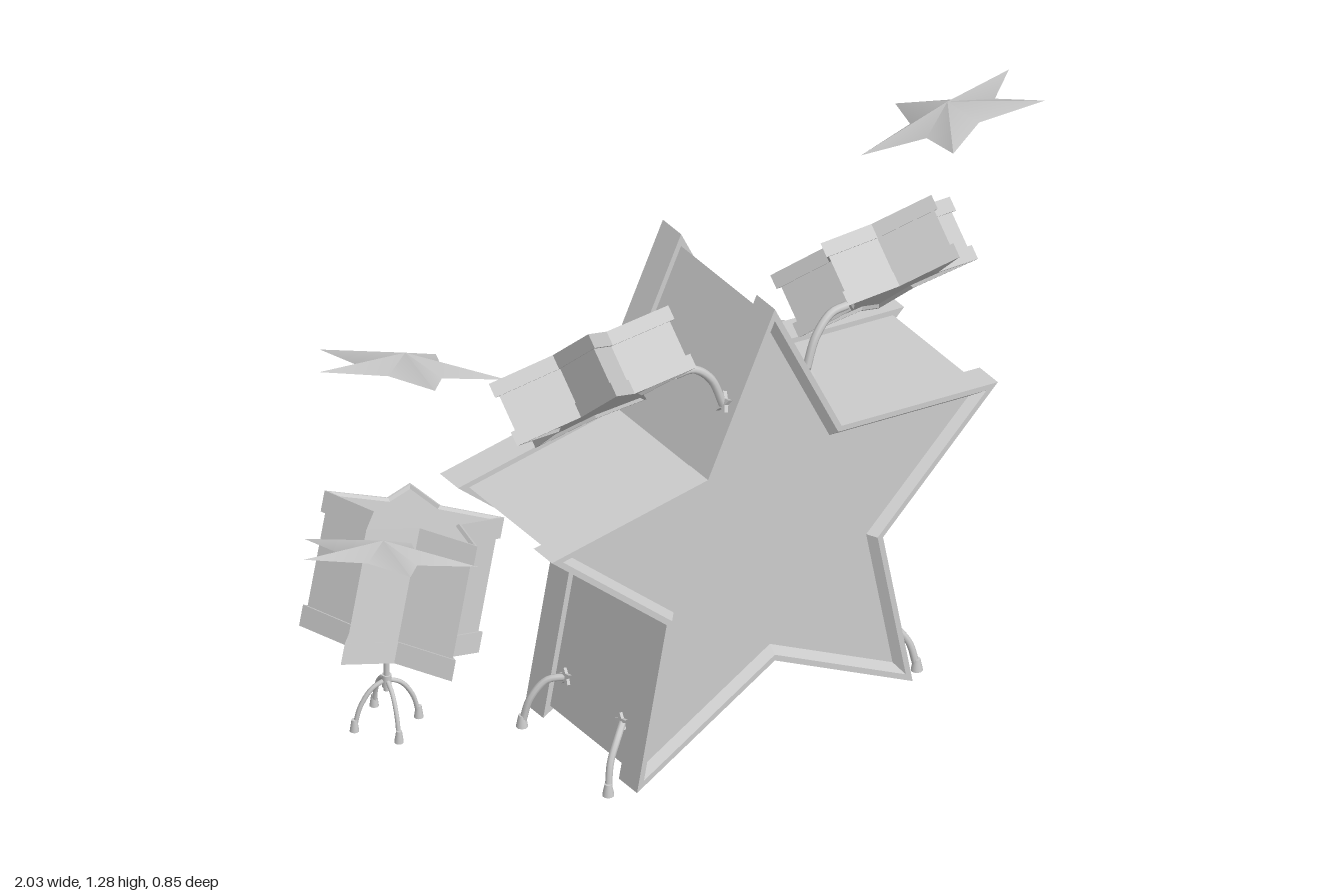
import * as THREE from 'three';
import { toCreasedNormals } from 'three/addons/utils/BufferGeometryUtils.js';

const grey = new THREE.MeshStandardMaterial({ color: 0xcccccc });
const thin = new THREE.MeshStandardMaterial({ color: 0xcccccc, side: THREE.DoubleSide });
const V = (x, y, z) => new THREE.Vector3(x, y, z);
const UP = V(0, 1, 0);
const MID = 0.017; // mirror plane of the kit

// Five-pointed star swept through a profile of [radius, height], listed bottom to top
function starLoft(profile, angle, ratio = 0.485) {
  const point = ([r, y], j) => {
    const a = THREE.MathUtils.degToRad(angle) + (j * Math.PI) / 5;
    const k = j % 2 ? r * ratio : r;
    return [k * Math.cos(a), y, -k * Math.sin(a)];
  };
  const pos = [];
  for (let i = 0; i < profile.length - 1; i++) {
    const lo = profile[i], hi = profile[i + 1];
    for (let j = 0; j < 10; j++) {
      const a = point(lo, j), b = point(lo, j + 1), c = point(hi, j + 1), d = point(hi, j);
      if (lo[0] > 0) pos.push(...a, ...b, ...c);
      if (hi[0] > 0) pos.push(...a, ...c, ...d);
    }
  }
  const g = new THREE.BufferGeometry();
  g.setAttribute('position', new THREE.Float32BufferAttribute(pos, 3));
  g.computeVertexNormals();
  return toCreasedNormals(g, 0.6);
}

function add(parent, name, geometry, material = grey) {
  const m = new THREE.Mesh(geometry, material);
  m.name = name;
  parent.add(m);
  return m;
}

// Place a mesh so that its own y axis points along the given direction
function place(mesh, centre, axis) {
  mesh.position.copy(centre);
  mesh.quaternion.setFromUnitVectors(UP, axis.clone().normalize());
  return mesh;
}

// Star drum: shell with a raised hoop and a slightly recessed head at each end
function drum(parent, name, R, height, hoop, angle, centre, axis) {
  const h = height / 2, head = h - 0.03 * R, shell = 0.95 * R;
  const profile = [
    [0, -head], [0.89 * R, -head], [0.95 * R, -h], [R, -h], [R, -h + hoop], [shell, -h + hoop],
    [shell, h - hoop], [R, h - hoop], [R, h], [0.95 * R, h], [0.89 * R, head], [0, head],
  ];
  place(add(parent, name, starLoft(profile, angle)), centre, axis);
}

function plate(parent, name, R, t, angle, centre, axis) {
  const geo = starLoft([[0, -t / 2], [R, -t / 2], [R, t / 2], [0, t / 2]], angle);
  place(add(parent, name, geo), centre, axis);
}

function cymbal(parent, name, R, angle, centre, axis) {
  const geo = starLoft([[R, -0.008], [0, 0.03]], angle, 0.46);
  place(add(parent, name, geo, thin), centre, axis);
}

function tube(parent, name, points, r) {
  const curve = new THREE.CatmullRomCurve3(points);
  add(parent, name, new THREE.TubeGeometry(curve, 16, r, 8), thin);
}

function rod(parent, name, a, b, r) {
  const geo = new THREE.CylinderGeometry(r, r, a.distanceTo(b), 10);
  place(add(parent, name, geo), a.clone().lerp(b, 0.5), b.clone().sub(a));
}

function foot(parent, x, z, r) {
  const m = add(parent, 'rubberFoot', new THREE.CylinderGeometry(r * 0.6, r, 0.03, 10));
  m.position.set(x, 0.028, z);
}

// Pole with arched legs
function stand(name, x, z, top, legTop, spread, count, start) {
  const g = new THREE.Group();
  g.name = name;
  rod(g, 'pole', V(x, legTop - 0.03, z), V(x, top, z), 0.007);
  rod(g, 'collar', V(x, legTop - 0.02, z), V(x, legTop + 0.012, z), 0.011);
  for (let i = 0; i < count; i++) {
    const a = start + (i * 2 * Math.PI) / count;
    const at = (f, y) => V(x + Math.cos(a) * spread * f, y, z + Math.sin(a) * spread * f);
    tube(g, 'standLeg', [at(0, legTop), at(0.45, legTop * 0.87), at(0.82, legTop * 0.55), at(1, 0.02)], 0.0055);
    foot(g, x + Math.cos(a) * spread, z + Math.sin(a) * spread, 0.011);
  }
  return g;
}

function pedal() {
  const g = new THREE.Group();
  g.name = 'kickPedal';
  plate(g, 'heelPlate', 0.062, 0.016, 90, V(0, 0.012, -0.363), UP);
  // Sloping footboard with a star at the toe
  const slope = V(0, 1, -0.45);
  place(add(g, 'footboard', new THREE.BoxGeometry(0.036, 0.01, 0.17)), V(0, 0.05, -0.26), slope);
  plate(g, 'toePlate', 0.057, 0.012, -90, V(0, 0.08, -0.195), slope);
  // Frame that holds the beater
  for (const s of [-1, 1]) {
    tube(g, 'framePost', [V(s * 0.05, 0.01, -0.125), V(s * 0.026, 0.07, -0.125), V(s * 0.045, 0.14, -0.125)], 0.006);
    rod(g, 'sideRail', V(s * 0.045, 0.008, -0.13), V(s * 0.025, 0.008, -0.33), 0.005);
  }
  rod(g, 'axle', V(-0.05, 0.137, -0.125), V(0.05, 0.137, -0.125), 0.007);
  rod(g, 'baseBar', V(-0.06, 0.014, -0.13), V(0.06, 0.014, -0.13), 0.01);
  rod(g, 'link', V(0, 0.09, -0.165), V(0, 0.137, -0.13), 0.005);
  rod(g, 'beaterRod', V(0, 0.125, -0.12), V(0, 0.3, -0.22), 0.007);
  plate(g, 'beater', 0.03, 0.03, 90, V(0, 0.295, -0.217), V(0, 0.47, 0.88));
  g.position.x = MID;
  return g;
}

export function createModel() {
  const kit = new THREE.Group();
  kit.name = 'starDrumKit';

  drum(kit, 'bassDrum', 0.643, 0.431, 0.07, 90, V(MID, 0.547, 0.157), V(0, 0, 1));

  // Rack toms, their arms, and the bass drum spurs, mirrored
  for (const s of [-1, 1]) {
    drum(kit, 'rackTom', 0.234, 0.153, 0.034, s < 0 ? 180 : 0,
      V(MID + s * 0.398, 1.067, 0.213), V(0, 0.7, -0.71));
    const p = (x, y, z) => V(MID + s * x, y, z);
    tube(kit, 'tomArm', [p(0.235, 1.075, 0.318), p(0.19, 1.075, 0.322), p(0.145, 1.035, 0.328), p(0.112, 0.95, 0.333)], 0.01);
    plate(kit, 'tomArmMount', 0.026, 0.014, 90, p(0.112, 0.96, 0.333), V(s * 0.9, 0.4, 0));
    for (const [zTop, zFoot] of [[0.265, 0.325], [0.05, -0.007]]) {
      const zm = (zTop + zFoot) / 2;
      plate(kit, 'spurMount', 0.021, 0.014, 90, p(0.342, 0.147, zTop), V(s, 0.2, 0));
      tube(kit, 'spur', [p(0.34, 0.146, zTop), p(0.375, 0.135, zm), p(0.408, 0.09, zFoot * 0.8 + zTop * 0.2), p(0.423, 0.02, zFoot)], 0.0085);
      foot(kit, MID + s * 0.423, zFoot, 0.014);
    }
  }

  // Floor tom and snare on their stands
  drum(kit, 'floorTom', 0.215, 0.322, 0.05, 57, V(-0.58, 0.358, -0.218), V(0.31, 0.94, -0.13));
  kit.add(stand('floorTomStand', -0.647, -0.19, 0.22, 0.135, 0.077, 4, 0.25));
  drum(kit, 'snareDrum', 0.179, 0.19, 0.042, 86, V(0.566, 0.45, -0.222), V(-0.31, 0.92, -0.24));
  kit.add(stand('snareStand', 0.595, -0.196, 0.37, 0.092, 0.122, 3, Math.PI / 2));

  // Floating cymbals
  cymbal(kit, 'leftHighCymbal', 0.233, 107, V(-0.778, 1.18, 0.06), V(0.35, 1, -0.3));
  cymbal(kit, 'leftLowCymbal', 0.215, 107, V(-0.82, 0.672, 0.035), V(0.35, 1, -0.3));
  cymbal(kit, 'rightCymbal', 0.227, 93, V(0.786, 1.187, -0.027), V(-0.13, 1, -0.38));

  kit.add(pedal());
  return kit;
}
